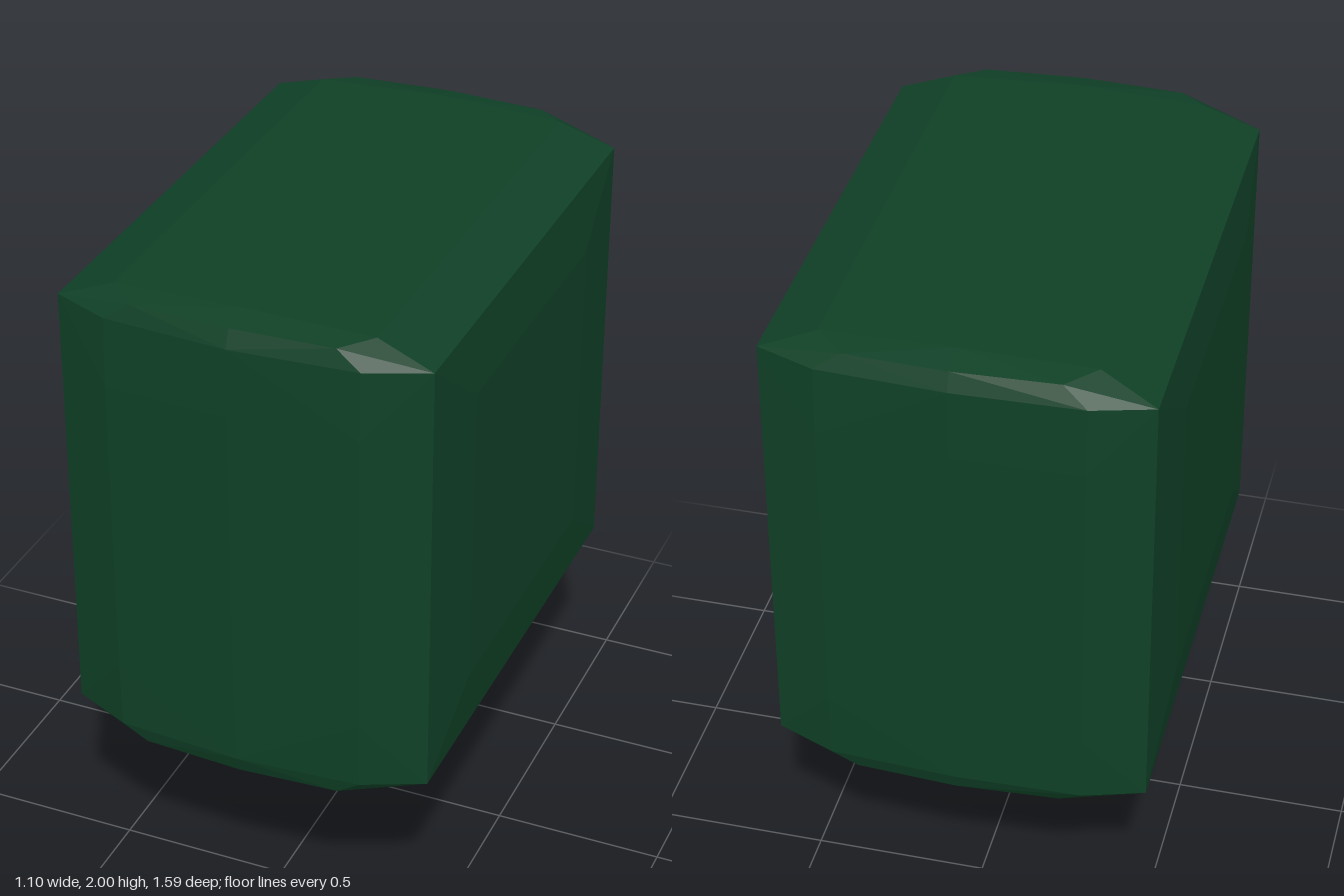
import * as THREE from 'three';
import { ConvexGeometry } from 'three/addons/geometries/ConvexGeometry.js';

const leafGreen = new THREE.MeshStandardMaterial({ color: 0x0f4026 });
leafGreen.name = 'leafGreen';
const barkBrown = new THREE.MeshStandardMaterial({ color: 0x3a2425 });
barkBrown.name = 'barkBrown';

const vec = (p) => new THREE.Vector3(...p);

// Clipped block of foliage: a convex hull of bevel points, with slightly uneven ends
function crownGeometry() {
  const pts = [];
  const mid = 1.277;
  // [x, half height, z at the end]
  const ring = [
    [0, 0.65, 0.79], [0.36, 0.65, 0.765], [0.525, 0.65, 0.675],
    [0.53, 0.648, 0.69], [0.548, 0.45, 0.43],
    [0, 0.702, 0.77], [0.29, 0.7, 0.755], [0.37, 0.71, 0.68], [0, 0.722, 0.69],
    [0, 0.45, 0.793], [0.36, 0.45, 0.772], [0.53, 0.45, 0.68],
  ];
  for (const [x, h, z] of ring) {
    for (const sx of [-1, 1]) for (const sy of [-1, 1]) for (const sz of [-1, 1]) {
      // the back right corner is fuller than the others
      const extra = sz < 0 && x > 0.3 && x < 0.54 && h < 0.7 ? (sx < 0 ? 0.04 : 0.012) : 0;
      pts.push(new THREE.Vector3(sx * x, mid + sy * h, sz * (z + (x > 0.5 ? extra : extra * 0.4))));
    }
  }
  return new ConvexGeometry(pts);
}

// Round limb swept along a few points
function limb(name, points, radius) {
  const curve = new THREE.CatmullRomCurve3(points.map(vec));
  const mesh = new THREE.Mesh(new THREE.TubeGeometry(curve, 10, radius, 8), barkBrown);
  mesh.name = name;
  return mesh;
}

export function createModel() {
  const tree = new THREE.Group();
  tree.name = 'clippedTree';

  const crown = new THREE.Mesh(crownGeometry(), leafGreen);
  crown.name = 'crown';
  tree.add(crown);

  // Trunk with a blunt rounded foot
  tree.add(limb('trunk', [[0.055, 0.035, -0.022], [0.057, 0.2, -0.024], [0.056, 0.4, -0.029], [0.055, 0.62, -0.035]], 0.036));
  const footProfile = [[0, 0], [0.016, 0.004], [0.029, 0.018], [0.036, 0.036]].map(([r, y]) => new THREE.Vector2(r, y));
  const foot = new THREE.Mesh(new THREE.LatheGeometry(footProfile, 8), barkBrown);
  foot.name = 'trunkFoot';
  foot.position.set(0.055, 0, -0.022);
  tree.add(foot);

  // Branches fanning up into the crown
  tree.add(
    limb('frontBranch', [[0.06, 0.17, -0.025], [0.0, 0.29, 0.06], [-0.055, 0.43, 0.16], [-0.1, 0.62, 0.29]], 0.038),
    limb('backBranch', [[0.06, 0.31, -0.03], [0.11, 0.4, -0.09], [0.145, 0.5, -0.165], [0.175, 0.62, -0.26]], 0.03),
    limb('upperBranch', [[0.05, 0.38, -0.02], [0.085, 0.46, 0.025], [0.125, 0.54, 0.07], [0.155, 0.62, 0.11]], 0.026),
  );
  return tree;
}
